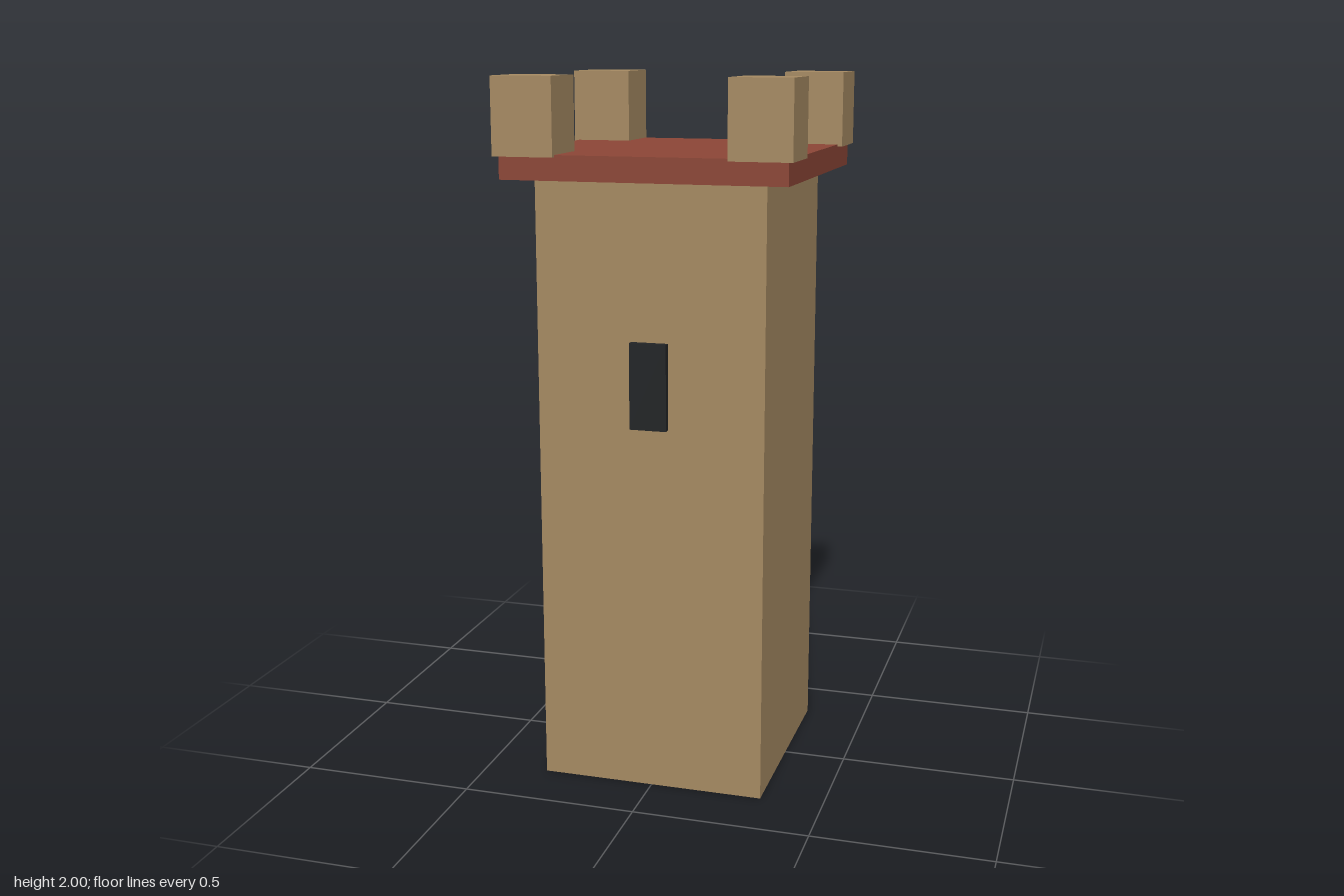
import * as THREE from 'three';

export function createModel() {
  const tower = new THREE.Group();
  tower.name = 'watchtower';

  const stone = new THREE.MeshStandardMaterial({ name: 'tan stone', color: 0xa68a62 });
  const tile = new THREE.MeshStandardMaterial({ name: 'brick red', color: 0x8c4636 });
  const dark = new THREE.MeshStandardMaterial({ name: 'window black', color: 0x222426 });

  // Adds a box standing on height y
  const addBox = (name, material, [w, h, d], [x, y, z]) => {
    const mesh = new THREE.Mesh(new THREE.BoxGeometry(w, h, d), material);
    mesh.name = name;
    mesh.position.set(x, y + h / 2, z);
    tower.add(mesh);
  };

  // Square shaft and overhanging roof slab
  addBox('shaft', stone, [0.644, 1.728, 0.644], [0, 0, 0]);
  addBox('roofSlab', tile, [0.79, 0.068, 0.79], [0, 1.728, 0]);

  // Slit window set into the front wall, standing slightly proud
  addBox('window', dark, [0.104, 0.24, 0.04], [0, 1.054, 0.322]);

  // One battlement block at each roof corner, slightly overhanging the slab
  for (const [sideX, x] of [['left', 0.323], ['right', -0.323]]) {
    for (const [sideZ, z] of [['Front', 0.323], ['Back', -0.323]]) {
      addBox(`${sideX}${sideZ}Battlement`, stone, [0.171, 0.21, 0.171], [x, 1.79, z]);
    }
  }

  return tower;
}
